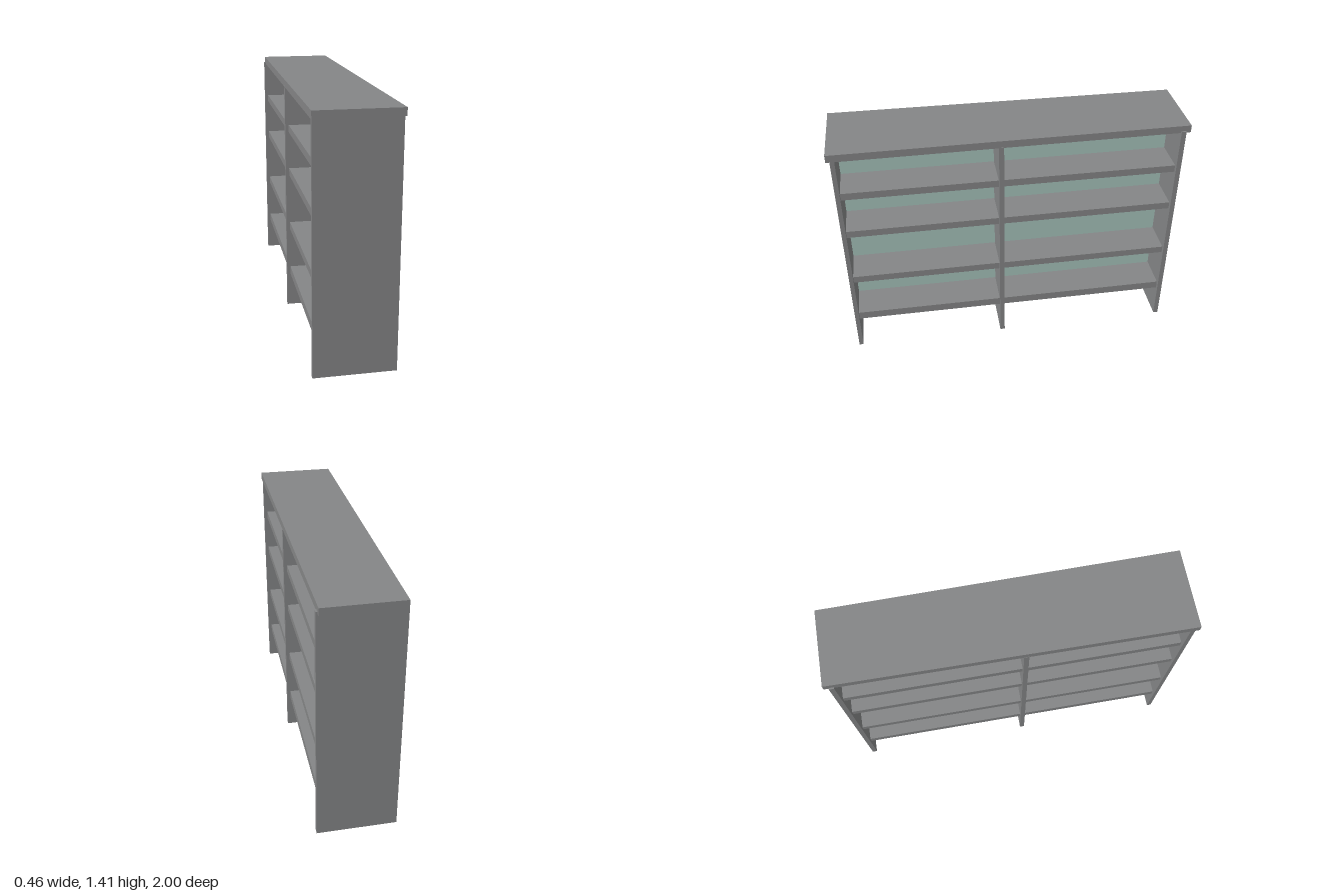
import * as THREE from 'three';

const grey = new THREE.MeshStandardMaterial({ color: 0x848586 });
grey.name = 'greyBoard';
const teal = new THREE.MeshStandardMaterial({ color: 0xa4c0b9 });
teal.name = 'paleTealPanel';

// Board centred on x = 0, given by its width and its y and z limits
function board(name, width, y0, y1, z0, z1, material = grey) {
  const mesh = new THREE.Mesh(new THREE.BoxGeometry(width, y1 - y0, z1 - z0), material);
  mesh.position.set(0, (y0 + y1) / 2, (z0 + z1) / 2);
  mesh.name = name;
  return mesh;
}

export function createModel() {
  const model = new THREE.Group();
  model.name = 'doubleSidedBookcase';

  // Top board, slightly narrower towards the back
  const top = board('topBoard', 0.461, 1.364, 1.407, -1, 1);
  const p = top.geometry.attributes.position;
  for (let i = 0; i < p.count; i++) {
    if (p.getZ(i) < 0) p.setX(i, p.getX(i) * 0.94);
  }
  top.geometry.computeVertexNormals();
  model.add(top);

  // Front end, middle divider and back end
  model.add(
    board('frontUpright', 0.452, 0, 1.37, 0.955, 0.98),
    board('middleUpright', 0.452, 0, 1.37, 0.052, 0.08),
    board('backUpright', 0.452, 0, 1.374, -0.972, -0.944)
  );

  // Two bays, each with a central panel and four shelves reaching out both sides
  const bays = [['front', 0.08, 0.955], ['back', -0.944, 0.052]];
  const shelfTops = [0.253, 0.543, 0.882, 1.143];
  for (const [side, z0, z1] of bays) {
    const bay = new THREE.Group();
    bay.name = side + 'Bay';
    bay.add(board('centrePanel', 0.008, 0.22, 1.364, z0, z1, teal));
    shelfTops.forEach((y, i) => bay.add(board('shelf' + (i + 1), 0.412, y - 0.043 - (i ? 0 : 0.006), y, z0, z1)));
    model.add(bay);
  }
  return model;
}
